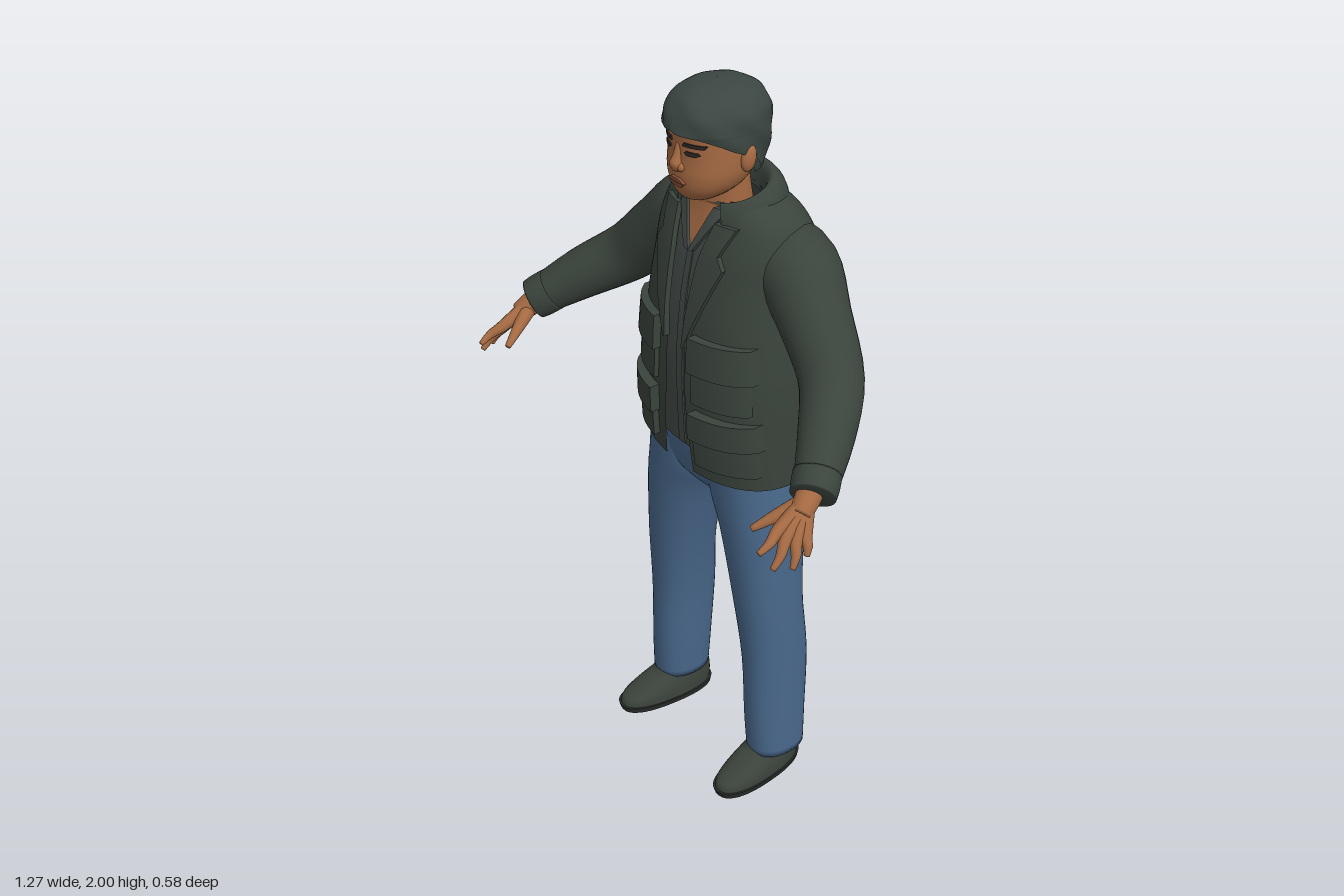
import * as THREE from 'three';
import { toCreasedNormals } from 'three/addons/utils/BufferGeometryUtils.js';

const material = (name, color, side = THREE.FrontSide) => {
  const m = new THREE.MeshStandardMaterial({ color, side });
  m.name = name;
  return m;
};

// Smooth interpolation through a list of number rows
function refine(rows, steps = 4) {
  const out = [], at = i => rows[Math.max(0, Math.min(rows.length - 1, i))];
  for (let i = 0; i < rows.length - 1; i++) {
    for (let s = 0; s < steps; s++) {
      const t = s / steps;
      out.push(rows[i].map((p1, k) => {
        const p0 = at(i - 1)[k], p2 = at(i + 1)[k], p3 = at(i + 2)[k];
        return p1 + 0.5 * t * (p2 - p0 + t * (2 * p0 - 5 * p1 + 4 * p2 - p3 + t * (3 * (p1 - p2) + p3 - p0)));
      }));
    }
  }
  out.push(rows[rows.length - 1]);
  return out;
}

// Surface through a grid of points
function surface(grid, closed) {
  const n = grid[0].length, index = [];
  for (let i = 0; i < grid.length - 1; i++) {
    for (let j = 0; j < (closed ? n : n - 1); j++) {
      const a = i * n + j, b = i * n + (j + 1) % n;
      index.push(a, b, b + n, a, b + n, a + n);
    }
  }
  const geo = new THREE.BufferGeometry();
  geo.setAttribute('position', new THREE.Float32BufferAttribute(grid.flat(2), 3));
  geo.setIndex(index);
  geo.computeVertexNormals();
  return geo;
}

const power = (v, p) => Math.sign(v) * Math.abs(v) ** p;

// Horizontal sections [y, centreX, halfWidth, frontZ, backZ, gap]; gap opens the front
function loft(rows, { n = 2, gap = null, tilt = 0, capped = false, segments = 40 } = {}) {
  const grid = refine(rows).map(([y, cx, rx, zf, zb, g = 0]) => {
    const zc = (zf + zb) / 2, d = (zf - zb) / 2;
    const t0 = gap === 'x' ? Math.asin(Math.min(1, (g / rx) ** (n / 2))) : gap ? Math.max(0, g) : 0;
    return Array.from({ length: gap ? segments + 1 : segments }, (_, j) => {
      const t = t0 + (j / segments) * (2 * Math.PI - 2 * t0);
      const z = d * power(Math.cos(t), 2 / n);
      return [cx + rx * power(Math.sin(t), 2 / n), y + tilt * z, zc + z];
    });
  });
  if (capped) {
    const centre = r => {
      const c = [0, 1, 2].map(k => r.reduce((s, p) => s + p[k], 0) / r.length);
      return r.map(() => c);
    };
    grid.unshift(centre(grid[0]));
    grid.push(centre(grid[grid.length - 1]));
  }
  return surface(grid, !gap);
}

// Round limb through [x, y, z, radius]
function limb(points, segments = 14) {
  const rows = refine(points);
  const path = new THREE.CatmullRomCurve3(rows.map(r => new THREE.Vector3(r[0], r[1], r[2])));
  const frames = path.computeFrenetFrames(rows.length - 1);
  const ring = (i, s) => Array.from({ length: segments }, (_, j) => {
    const t = (j / segments) * 2 * Math.PI, r = rows[i][3] * s;
    return new THREE.Vector3(...rows[i].slice(0, 3))
      .addScaledVector(frames.normals[i], r * Math.cos(t))
      .addScaledVector(frames.binormals[i], r * Math.sin(t)).toArray();
  });
  const grid = rows.map((_, i) => ring(i, 1));
  return surface([ring(0, 0), ...grid, ring(rows.length - 1, 0)], true);
}

// Thin panel lying on the front of a loft; outline rows [y, x0, x1] from bottom to top
function panel(body, n, outline, off) {
  const dense = refine(body);
  const frontZ = (x, y) => {
    let i = 0;
    while (i < dense.length - 2 && dense[i + 1][0] < y) i++;
    const t = THREE.MathUtils.clamp((y - dense[i][0]) / (dense[i + 1][0] - dense[i][0]), 0, 1);
    const [, , rx, zf, zb] = dense[i].map((v, k) => v + t * (dense[i + 1][k] - v));
    const u = Math.min(Math.abs(x) / rx, 0.99);
    return (zf + zb) / 2 + (zf - zb) / 2 * (1 - u ** n) ** (1 / n);
  };
  const lines = [];
  outline.forEach((r, i) => {
    if (i) for (let s = 1; s <= 5; s++) lines.push(r.map((v, k) => THREE.MathUtils.lerp(outline[i - 1][k], v, s / 5)));
    else lines.push(r);
  });
  const sink = ([x, y, z]) => [x, y, z - off - 0.004];
  const grid = lines.map(([y, x0, x1]) => {
    const row = Array.from({ length: 9 }, (_, j) => {
      const x = x0 + (x1 - x0) * j / 8;
      return [x, y, frontZ(x, y) + off];
    });
    return [sink(row[0]), ...row, sink(row[8])];
  });
  const edge = r => r.map((p, j) => (j === 0 || j === r.length - 1 ? p : sink(p)));
  return toCreasedNormals(surface([edge(grid[0]), ...grid, edge(grid[grid.length - 1])], false), 0.8);
}

function mirrored(source) {
  const geo = source.index ? source.toNonIndexed() : source.clone();
  geo.scale(-1, 1, 1);
  for (const { array } of [geo.attributes.position, geo.attributes.normal]) {
    for (let i = 0; i < array.length; i += 9) {
      for (let k = 3; k < 6; k++) [array[i + k], array[i + k + 3]] = [array[i + k + 3], array[i + k]];
    }
  }
  return geo;
}

export function createModel() {
  const model = new THREE.Group();
  const cloth = material('jacket cloth', 0x3a433c, THREE.DoubleSide);
  const knit = material('shirt cloth', 0x424a46, THREE.DoubleSide);
  const denim = material('denim', 0x48678a);
  const skin = material('skin', 0xa56a43);
  const lips = material('lips', 0x8a5239);
  const hair = material('hair', 0x3b4642, THREE.DoubleSide);
  const leather = material('shoe leather', 0x3b423b);
  const rubber = material('shoe sole', 0x2a2e2b);
  const dark = material('eyes and brows', 0x2c2622);
  const add = (name, geo, mat) => {
    const mesh = new THREE.Mesh(geo, mat);
    mesh.name = name;
    model.add(mesh);
  };
  const pair = (name, geo, mat) => {
    add(name + 'Left', geo, mat);
    add(name + 'Right', mirrored(geo), mat);
  };

  // Jacket body, open down the front
  const coat = [
    [0.975, 0, 0.252, 0.07, -0.272, 0.055], [1.1, 0, 0.25, 0.08, -0.277, 0.045],
    [1.25, 0, 0.247, 0.082, -0.283, 0.035], [1.4, 0, 0.235, 0.075, -0.29, 0.038],
    [1.52, 0, 0.225, 0.055, -0.288, 0.055], [1.6, 0, 0.22, 0.035, -0.265, 0.065],
    [1.66, 0, 0.2, 0.012, -0.235, 0.075], [1.695, 0, 0.165, 0, -0.208, 0.08], [1.72, 0, 0.125, -0.01, -0.19, 0.08]];
  add('jacketBody', loft(coat, { n: 2.4, gap: 'x', segments: 64 }), cloth);
  add('jacketCollar', loft([
    [1.685, 0, 0.148, 0.025, -0.212, 0.085], [1.715, 0, 0.138, 0.022, -0.2, 0.08],
    [1.738, 0, 0.118, 0.015, -0.178, 0.07], [1.725, 0, 0.105, 0.008, -0.16, 0.07],
    [1.68, 0, 0.095, 0, -0.15, 0.07]], { n: 2.2, gap: 'x', tilt: -0.25 }), cloth);
  pair('lapel', panel(coat, 2.4, [[1.34, 0.033, 0.04], [1.57, 0.05, 0.125], [1.6, 0.055, 0.105], [1.67, 0.07, 0.13]], 0.012), cloth);
  pair('upperPocket', panel(coat, 2.4, [[1.2, 0.075, 0.215], [1.36, 0.07, 0.21]], 0.014), cloth);
  pair('upperPocketFlap', panel(coat, 2.4, [[1.29, 0.066, 0.222], [1.385, 0.066, 0.212]], 0.024), cloth);
  pair('lowerPocket', panel(coat, 2.4, [[1.02, 0.085, 0.232], [1.16, 0.08, 0.228]], 0.018), cloth);
  pair('lowerPocketFlap', panel(coat, 2.4, [[1.1, 0.075, 0.236], [1.175, 0.075, 0.23]], 0.028), cloth);

  // Sleeves and cuffs
  pair('sleeve', limb([
    [0.08, 1.555, -0.14, 0.1], [0.19, 1.555, -0.135, 0.107], [0.295, 1.47, -0.11, 0.09],
    [0.4, 1.367, -0.075, 0.079], [0.49, 1.292, 0.015, 0.068], [0.568, 1.215, 0.118, 0.05]], 28), cloth);
  pair('cuff', limb([[0.54, 1.243, 0.082, 0.058], [0.556, 1.227, 0.102, 0.058], [0.57, 1.213, 0.121, 0.055]], 24), cloth);

  // Shirt and open neckline
  const shirt = [
    [1.03, 0, 0.235, 0.058, -0.25], [1.25, 0, 0.23, 0.067, -0.26], [1.4, 0, 0.215, 0.06, -0.265],
    [1.52, 0, 0.205, 0.043, -0.26], [1.6, 0, 0.195, 0.025, -0.24], [1.66, 0, 0.16, 0.006, -0.2], [1.71, 0, 0.085, -0.004, -0.15]];
  add('shirt', loft(shirt, { n: 2.4 }), knit);
  add('shirtPlacket', panel(shirt, 2.4, [[1.035, -0.012, 0.012], [1.58, -0.01, 0.01]], 0.004), knit);
  add('openNeck', panel(shirt, 2.4, [[1.59, -0.002, 0.002], [1.705, -0.055, 0.055]], 0.005), skin);
  pair('shirtCollar', panel(shirt, 2.4, [[1.58, 0, 0.014], [1.7, 0.05, 0.085]], 0.012), knit);

  // Jeans
  add('jeansSeat', loft([
    [0.875, 0, 0.09, -0.02, -0.16], [0.9, 0, 0.16, 0.015, -0.195], [0.94, 0, 0.225, 0.035, -0.215],
    [1.0, 0, 0.235, 0.045, -0.225], [1.08, 0, 0.228, 0.05, -0.225]], { n: 2.4, capped: true }), denim);
  pair('jeansLeg', loft([
    [0.085, 0.213, 0.066, -0.01, -0.175], [0.2, 0.208, 0.068, -0.004, -0.18], [0.4, 0.2, 0.073, 0, -0.186],
    [0.6, 0.183, 0.085, 0.016, -0.172], [0.8, 0.155, 0.105, 0.03, -0.188], [0.9, 0.129, 0.123, 0.036, -0.21],
    [1.0, 0.118, 0.12, 0.04, -0.22]], { n: 2.2, capped: true }), denim);

  // Shoes, turned slightly outwards
  const shoe = (rows, n) => loft(rows, { n, capped: true })
    .translate(0, 0, 0.05).rotateY(0.1).translate(0.208, 0, -0.05);
  pair('shoe', shoe([
    [0.012, 0, 0.058, 0.115, -0.175], [0.035, 0, 0.058, 0.108, -0.176], [0.055, 0, 0.056, 0.075, -0.176],
    [0.075, 0, 0.052, 0.03, -0.174], [0.09, 0, 0.05, -0.005, -0.17], [0.12, 0, 0.045, -0.03, -0.16]], 2.3), leather);
  pair('shoeSole', toCreasedNormals(shoe([[0, 0, 0.058, 0.115, -0.178], [0.018, 0, 0.062, 0.12, -0.181]], 2.4), 0.7), rubber);

  // Hands: wrist, fingers running from the wrist, thumb
  pair('wrist', limb([[0.55, 1.232, 0.1, 0.034], [0.567, 1.203, 0.138, 0.031], [0.578, 1.183, 0.165, 0.026]]), skin);
  [['indexFinger', [0.572, 1.165, 0.222], [0.58, 1.13, 0.288]],
    ['middleFinger', [0.59, 1.15, 0.214], [0.607, 1.092, 0.268]],
    ['ringFinger', [0.603, 1.144, 0.195], [0.628, 1.087, 0.226]],
    ['littleFinger', [0.608, 1.147, 0.172], [0.63, 1.108, 0.186]]].forEach(([name, k, tip]) => {
    const mid = k.map((v, i) => v + (tip[i] - v) * 0.55 + (i ? 0 : 0.006));
    pair(name, limb([[0.568, 1.205, 0.138, 0.022], [...k, 0.016], [...mid, 0.0115], [...tip, 0.007]], 10), skin);
  });
  pair('thumb', limb([[0.562, 1.2, 0.142, 0.022], [0.535, 1.172, 0.195, 0.016], [0.508, 1.142, 0.25, 0.008]], 10), skin);

  // Neck, head and face
  add('neck', limb([[0, 1.6, -0.08, 0.075], [0, 1.69, -0.068, 0.07], [0, 1.8, -0.05, 0.07]], 24), skin);
  const head = [
    [1.716, 0, 0.03, 0.035, -0.03], [1.728, 0, 0.052, 0.056, -0.06], [1.755, 0, 0.082, 0.069, -0.1],
    [1.79, 0, 0.099, 0.073, -0.13], [1.83, 0, 0.104, 0.07, -0.15], [1.87, 0, 0.104, 0.07, -0.16],
    [1.91, 0, 0.102, 0.07, -0.165], [1.95, 0, 0.085, 0.05, -0.15], [1.98, 0, 0.05, 0.01, -0.1]];
  add('head', loft(head, { n: 2.2, capped: true }), skin);
  add('nose', limb([[0, 1.868, 0.06, 0.01], [0, 1.835, 0.07, 0.012], [0, 1.815, 0.074, 0.017], [0, 1.803, 0.07, 0.011]]), skin);
  pair('nostril', new THREE.SphereGeometry(0.011, 12, 8).translate(0.014, 1.811, 0.07), skin);
  pair('ear', new THREE.SphereGeometry(1, 16, 12).scale(0.014, 0.034, 0.021).rotateX(-0.15).translate(0.107, 1.833, -0.055), skin);
  pair('eyebrow', panel(head, 2.2, [[1.868, 0.02, 0.07], [1.877, 0.024, 0.076]], 0.004), dark);
  pair('eye', panel(head, 2.2, [[1.846, 0.032, 0.054], [1.852, 0.024, 0.064], [1.857, 0.03, 0.058]], 0.003), dark);
  add('upperLip', panel(head, 2.2, [[1.773, -0.03, 0.03], [1.783, -0.014, 0.014]], 0.007), lips);
  add('lowerLip', panel(head, 2.2, [[1.761, -0.016, 0.016], [1.771, -0.028, 0.028]], 0.006), lips);

  // Hair with the face left open and gently lumpy locks
  const locks = loft([
    [1.762, 0, 0.078, 0.045, -0.14, 2.3], [1.79, 0, 0.101, 0.06, -0.162, 2.05], [1.83, 0, 0.109, 0.076, -0.174, 1.75],
    [1.86, 0, 0.113, 0.082, -0.18, 1.3], [1.88, 0, 0.115, 0.085, -0.181, 1.0], [1.895, 0, 0.115, 0.088, -0.181, 0.6],
    [1.905, 0, 0.115, 0.089, -0.18, 0], [1.94, 0, 0.111, 0.08, -0.174, 0], [1.972, 0, 0.088, 0.055, -0.15, 0],
    [1.992, 0, 0.05, 0.01, -0.105, 0], [1.999, 0, 0.001, -0.045, -0.047, 0]], { n: 2.1, gap: 'angle', segments: 56 });
  const p = locks.attributes.position;
  for (let i = 0; i < p.count; i++) {
    const s = 1 + 0.018 * Math.sin(p.getY(i) * 70 + 7 * Math.atan2(p.getX(i), p.getZ(i) + 0.05));
    p.setX(i, p.getX(i) * s);
    p.setZ(i, (p.getZ(i) + 0.05) * s - 0.05);
  }
  locks.computeVertexNormals();
  add('hair', locks, hair);
  return model;
}
